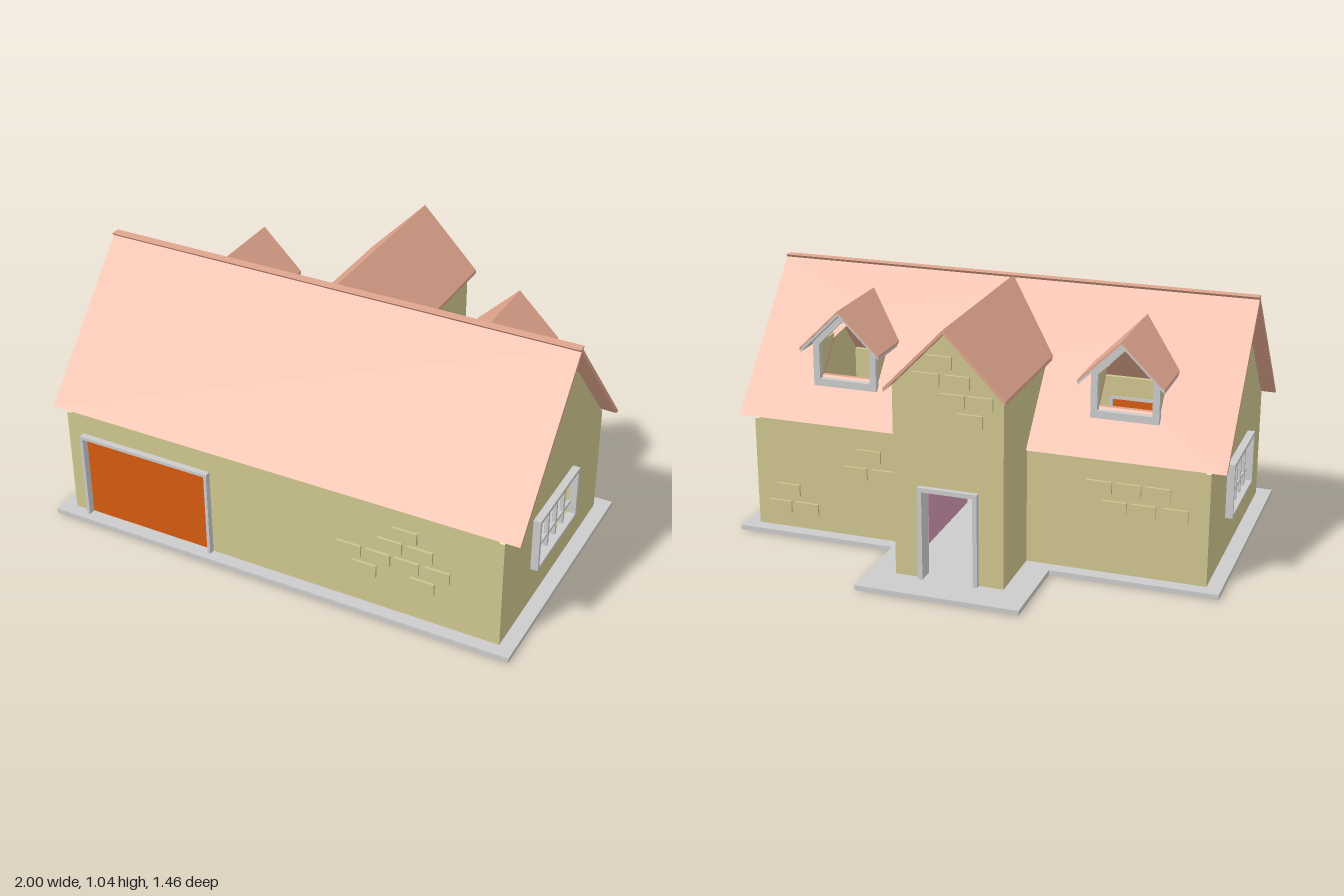
import * as THREE from 'three';

const mat = (color) => new THREE.MeshStandardMaterial({ color, flatShading: true, side: THREE.DoubleSide });

export function createModel() {
  const house = new THREE.Group();
  house.name = 'house';
  const grey = mat(0xcccccc), wall = mat(0xcfc68f), tile = mat(0xe0a58e);
  const orange = mat(0xd65a10), pink = mat(0xd096b4), brown = mat(0xa06a50);

  // Main roof: outer surface of the back slope
  const RIDGE = 1.04, RUN = 0.91, RZ = 0.18;
  const roofZ = (y) => RZ - (RIDGE - y) * RUN;
  const roofY = (z) => RIDGE - (RZ - z) / RUN;

  const add = (name, geo, m, parent = house) => {
    const mesh = new THREE.Mesh(geo, m);
    mesh.name = name;
    parent.add(mesh);
    return mesh;
  };
  // Box given by its extents
  const box = (name, x0, x1, y0, y1, z0, z1, m, parent) =>
    add(name, new THREE.BoxGeometry(x1 - x0, y1 - y0, z1 - z0), m, parent)
      .position.set((x0 + x1) / 2, (y0 + y1) / 2, (z0 + z1) / 2);
  const poly = (pts, holes = []) => {
    const s = new THREE.Shape(pts.map((p) => new THREE.Vector2(...p)));
    s.holes = holes.map((h) => new THREE.Path(h.map((p) => new THREE.Vector2(...p))));
    return s;
  };
  const rect = (a0, a1, b0, b1) => [[a0, b0], [a1, b0], [a1, b1], [a0, b1]];
  const extrude = (shape, depth) => new THREE.ExtrudeGeometry(shape, { depth, bevelEnabled: false });
  // Outline in (x, y), thickness along z
  const slabZ = (name, shape, z0, z1, m, parent) =>
    add(name, extrude(shape, z1 - z0).translate(0, 0, z0), m, parent);
  // Outline in (z, y), thickness along x
  const slabX = (name, shape, x0, x1, m, parent) =>
    add(name, extrude(shape, x1 - x0).rotateY(-Math.PI / 2).translate(x1, 0, 0), m, parent);
  const pentagon = (cx, hw, y0, y1, top) =>
    [[cx - hw, y0], [cx + hw, y0], [cx + hw, y1], [cx, top], [cx - hw, y1]];
  const moveVerts = (geo, rule) => {
    const p = geo.attributes.position;
    for (let i = 0; i < p.count; i++) p.setZ(i, rule(p.getY(i), p.getZ(i)));
    geo.computeVertexNormals();
    return geo;
  };

  // Base slab
  slabX('base', poly(rect(-0.36, 0.73, 0, 0.02)), -1, 1, grey);
  slabX('porchBase', poly(rect(-0.73, -0.36, 0, 0.02)), -0.33, 0.33, grey);

  // Gable ends with barred windows
  const gable = [[-0.305, 0.02], [0.675, 0.02], [0.675, 0.478], [0.185, 1.015], [-0.305, 0.478]];
  const opening = rect(0.015, 0.385, 0.193, 0.39);
  for (const s of [-1, 1]) {
    const [a, b] = s > 0 ? [0.92, 0.94] : [-0.94, -0.92];
    slabX('gableWall', poly(gable, [opening]), a, b, wall);
    const win = new THREE.Group();
    win.name = 'sideWindow';
    house.add(win);
    const [f0, f1] = s > 0 ? [0.91, 0.97] : [-0.97, -0.91];
    slabX('windowFrame', poly(rect(0, 0.4, 0.18, 0.405), [opening]), f0, f1, grey, win);
    const c = 0.94 * s;
    for (const z of [0.09, 0.17, 0.25, 0.33])
      box('windowBar', c - 0.008, c + 0.008, 0.19, 0.395, z - 0.007, z + 0.007, grey, win);
    box('windowRail', c - 0.006, c + 0.006, 0.239, 0.251, 0.01, 0.39, grey, win);
  }

  // Front wall with the wide door
  slabZ('frontWall', poly([[-0.92, 0.02], [-0.86, 0.02], [-0.86, 0.385], [-0.295, 0.385],
    [-0.295, 0.02], [0.92, 0.02], [0.92, 0.485], [-0.92, 0.485]]), 0.655, 0.675, wall);
  box('wideDoor', -0.86, -0.295, 0.02, 0.385, 0.66, 0.67, orange);
  const arch = (x0, x1, y1, w) => poly([[x0, 0.02], [x0 + w, 0.02], [x0 + w, y1 - w], [x1 - w, y1 - w],
    [x1 - w, 0.02], [x1, 0.02], [x1, y1], [x0, y1]]);
  slabZ('wideDoorFrame', arch(-0.872, -0.285, 0.397, 0.013), 0.65, 0.7, grey);

  // Back wall, open towards the porch
  box('backWall', -0.92, -0.2, 0.02, 0.485, -0.305, -0.285, wall);
  box('backWall', 0.2, 0.92, 0.02, 0.485, -0.305, -0.285, wall);

  // Main roof; the back slope is cut open for the porch and dormers
  const DX = 0.578;
  const sheet = rect(-1, 1, 0.49, RIDGE);
  add('frontRoof', moveVerts(extrude(poly(sheet), 0.02),
    (y, t) => RZ + (RIDGE - y) * RUN - 0.02 + t), tile);
  const cuts = [pentagon(0, 0.2, 0.51, 0.79, 0.98),
    pentagon(-DX, 0.115, 0.65, 0.77, 0.89), pentagon(DX, 0.115, 0.65, 0.77, 0.89)];
  add('backRoof', moveVerts(extrude(poly(sheet, cuts), 0.02), (y, t) => roofZ(y) + t), tile);

  // Small gable roof running into the back slope
  const smallRoof = (name, cx, hw, eave, top, z0, t, m, parent) => {
    const v = poly([[cx - hw, eave], [cx - hw, eave - t], [cx, top - t], [cx + hw, eave - t],
      [cx + hw, eave], [cx, top]]);
    const geo = moveVerts(extrude(v, 1), (y, z) => (z > 0.5 ? roofZ(y) + 0.006 : z0));
    add(name, geo, m, parent);
  };

  // Porch
  const porch = new THREE.Group();
  porch.name = 'porch';
  house.add(porch);
  const cheek = poly([[-0.58, 0.02], [-0.29, 0.02], [-0.29, 0.5], [roofZ(0.79), 0.79], [-0.58, 0.79]]);
  slabX('porchSideWall', cheek, 0.2, 0.22, wall, porch);
  slabX('porchSideWall', cheek, -0.22, -0.2, wall, porch);
  slabZ('porchBackWall', poly([[-0.22, 0.02], [-0.11, 0.02], [-0.11, 0.39], [0.11, 0.39], [0.11, 0.02],
    [0.22, 0.02], [0.22, 0.79], [0, 1.018], [-0.22, 0.79]]), -0.58, -0.56, wall, porch);
  slabZ('porchDoorFrame', arch(-0.12, 0.12, 0.4, 0.018), -0.6, -0.53, grey, porch);
  smallRoof('porchRoof', 0, 0.24, 0.79, 1.037, -0.62, 0.016, tile, porch);

  // Dormers
  for (const [cx, z0] of [[-DX, -0.285], [DX, -0.265]]) {
    const d = new THREE.Group();
    d.name = 'dormer';
    house.add(d);
    smallRoof('dormerRoof', cx, 0.17, 0.785, 0.952, z0, 0.01, tile, d);
    smallRoof('dormerLining', cx, 0.168, 0.777, 0.942, z0 + 0.003, 0.012, grey, d);
    const side = poly([[-0.2, roofY(-0.2)], [roofZ(0.79), 0.79], [-0.2, 0.79]]);
    slabX('dormerSide', side, cx + 0.115, cx + 0.13, wall, d);
    slabX('dormerSide', side, cx - 0.13, cx - 0.115, wall, d);
    slabZ('dormerFrame', poly(pentagon(cx, 0.135, 0.615, 0.8, 0.932),
      [pentagon(cx, 0.108, 0.645, 0.79, 0.898)]), -0.215, -0.19, grey, d);
  }

  // Raised bricks on the front, back and porch walls
  const bricks = (name, list, z) => {
    const g = new THREE.Group();
    g.name = name;
    house.add(g);
    for (const [x, y] of list)
      box('brick', x - 0.05, x + 0.05, y - 0.025, y + 0.025, z - 0.01, z + 0.01, wall, g);
  };
  bricks('frontBricks', [[0.55, 0.385], [0.49, 0.32], [0.615, 0.32], [0.32, 0.25], [0.442, 0.25],
    [0.56, 0.25], [0.685, 0.25], [0.385, 0.18], [0.625, 0.18]], 0.675);
  bricks('backBricks', [[-0.51, 0.375], [-0.625, 0.375], [-0.74, 0.375], [-0.57, 0.297], [-0.685, 0.297],
    [-0.81, 0.297], [0.44, 0.375], [0.5, 0.297], [0.38, 0.297], [0.8, 0.185], [0.84, 0.11], [0.72, 0.11]], -0.305);
  bricks('porchBricks', [[0.03, 0.9], [0.08, 0.83], [-0.04, 0.83], [-0.02, 0.757],
    [-0.13, 0.757], [-0.09, 0.685]], -0.58);

  // Inside: partition and staircase
  box('partition', 0.2, 0.22, 0.02, 0.48, -0.28, 0.17, pink);
  for (let i = 0; i < 7; i++) {
    const x = 0.5 - i * 0.08, y = 0.06 + i * 0.065;
    box('stairStep', x - 0.09, x, y - 0.05, y, 0.18, 0.6, brown);
  }
  return house;
}
